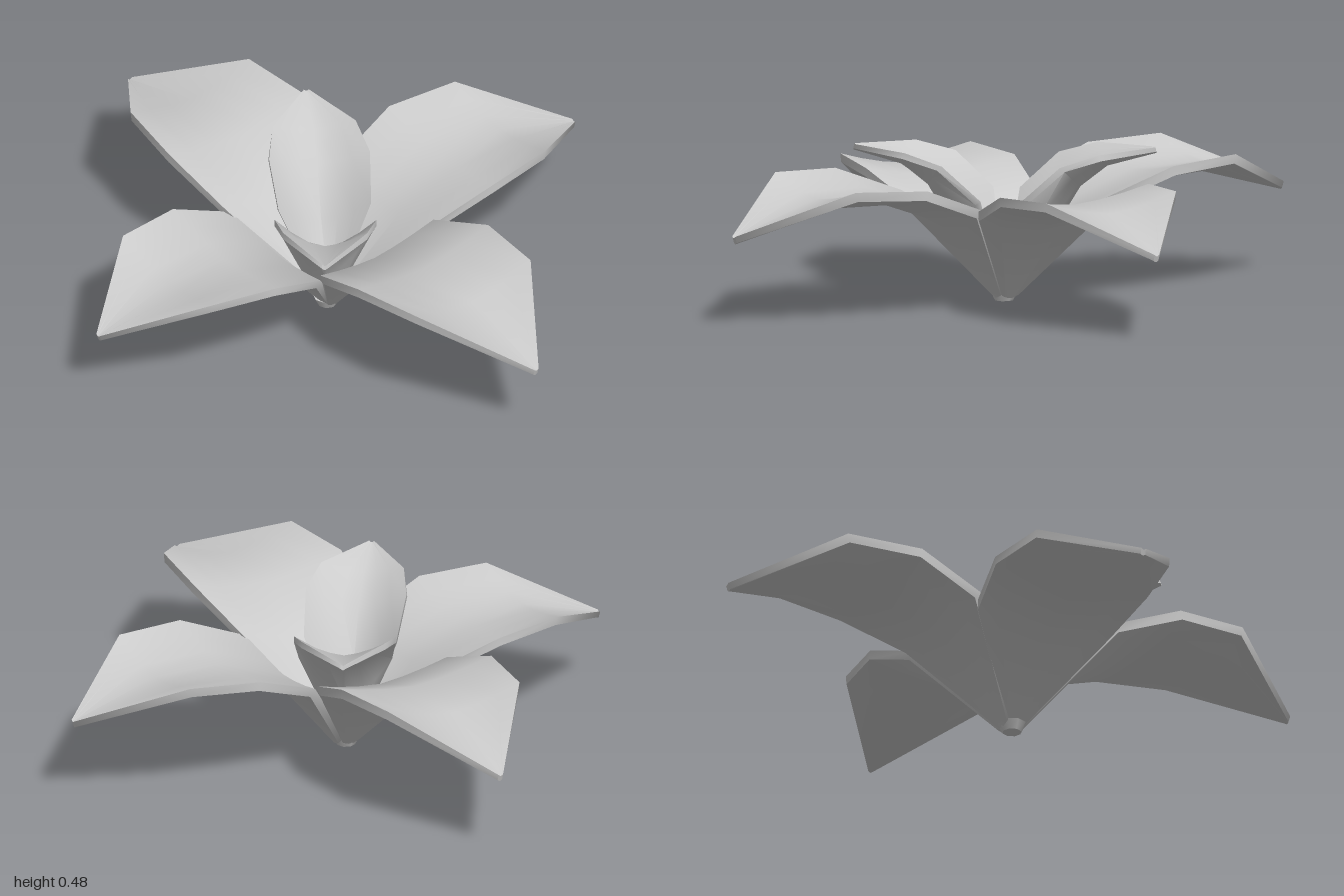
import * as THREE from 'three';
import { toCreasedNormals } from 'three/addons/utils/BufferGeometryUtils.js';

// Petal stations along +x: [mid reach, mid height, edge reach, edge height, half width]
const OUTER = [
  [0.01, 0.03, 0.01, 0.04, 0.03],
  [0.22, 0.29, 0.23, 0.335, 0.23],
  [0.45, 0.375, 0.45, 0.42, 0.265],
  [0.69, 0.38, 0.69, 0.433, 0.232],
  [0.99, 0.285, 0.99, 0.29, 0.008],
];
const INNER = [
  [0.01, 0.03, 0.0, 0.04, 0.025],
  [0.13, 0.22, 0.05, 0.33, 0.145],
  [0.22, 0.37, 0.17, 0.44, 0.158],
  [0.31, 0.44, 0.29, 0.475, 0.13],
  [0.465, 0.475, 0.465, 0.48, 0.008],
];
const COLUMNS = 6;

// Closed, cupped petal shell lofted through the stations
function petalGeometry(stations, thickness) {
  const positions = [], index = [];
  const ring = 2 * (COLUMNS + 1);
  stations.forEach(([mr, my, er, ey, hw], i) => {
    const prev = stations[Math.max(i - 1, 0)];
    const next = stations[Math.min(i + 1, stations.length - 1)];
    const dr = next[0] - prev[0], dy = next[1] - prev[1];
    const len = Math.hypot(dr, dy);
    const t = i === stations.length - 1 ? thickness * 0.7 : thickness;
    const point = (j, off) => {
      const v = (2 * j) / COLUMNS - 1;
      const k = Math.abs(v) ** 1.5;
      positions.push(
        mr + (er - mr) * k + (dy / len) * off,
        my + (ey - my) * k - (dr / len) * off,
        v * hw,
      );
    };
    for (let j = 0; j <= COLUMNS; j++) point(j, 0);
    for (let j = COLUMNS; j >= 0; j--) point(j, t);
  });
  // Skin
  for (let i = 0; i < stations.length - 1; i++) {
    for (let j = 0; j < ring; j++) {
      const a = i * ring + j, c = i * ring + ((j + 1) % ring);
      index.push(a, c, a + ring, a + ring, c, c + ring);
    }
  }
  // End caps, stitched between upper and lower rows
  const last = (stations.length - 1) * ring;
  for (let j = 0; j < COLUMNS; j++) {
    const a = j, b = j + 1, c = ring - 2 - j, d = ring - 1 - j;
    index.push(a, c, b, a, d, c);
    index.push(last + a, last + b, last + c, last + a, last + c, last + d);
  }
  const geometry = new THREE.BufferGeometry();
  geometry.setAttribute('position', new THREE.Float32BufferAttribute(positions, 3));
  geometry.setIndex(index);
  return toCreasedNormals(geometry, 0.9);
}

export function createModel() {
  const flower = new THREE.Group();
  flower.name = 'flower';
  const material = new THREE.MeshStandardMaterial({ color: 0xcccccc });
  const outer = petalGeometry(OUTER, 0.03);
  const inner = petalGeometry(INNER, 0.02);

  // name, geometry, yaw, reach scale, height scale, z of the base
  const petals = [
    ['outerPetalLeft', outer, 0.045, 1.01, 1, 0.025],
    ['outerPetalRight', outer, Math.PI, 1.01, 1, 0.03],
    ['outerPetalFront', outer, -Math.PI / 2 - 0.01, 0.91, 0.9, 0.02],
    ['outerPetalBack', outer, Math.PI / 2 - 0.01, 0.96, 0.97, 0.02],
    ['innerPetalRight', inner, Math.PI - 0.52, 1.01, 1, 0.03],
    ['innerPetalLeft', inner, -0.665, 1, 1, 0.035],
  ];
  for (const [name, geometry, yaw, reach, height, z] of petals) {
    const petal = new THREE.Mesh(geometry, material);
    petal.name = name;
    petal.rotation.y = yaw;
    petal.scale.set(reach, height, 1);
    petal.position.z = z;
    flower.add(petal);
  }

  // Small base joining the petals
  const base = new THREE.Mesh(new THREE.CylinderGeometry(0.045, 0.03, 0.03, 8), material);
  base.name = 'base';
  base.position.set(0, 0.015, 0.03);
  flower.add(base);
  return flower;
}
